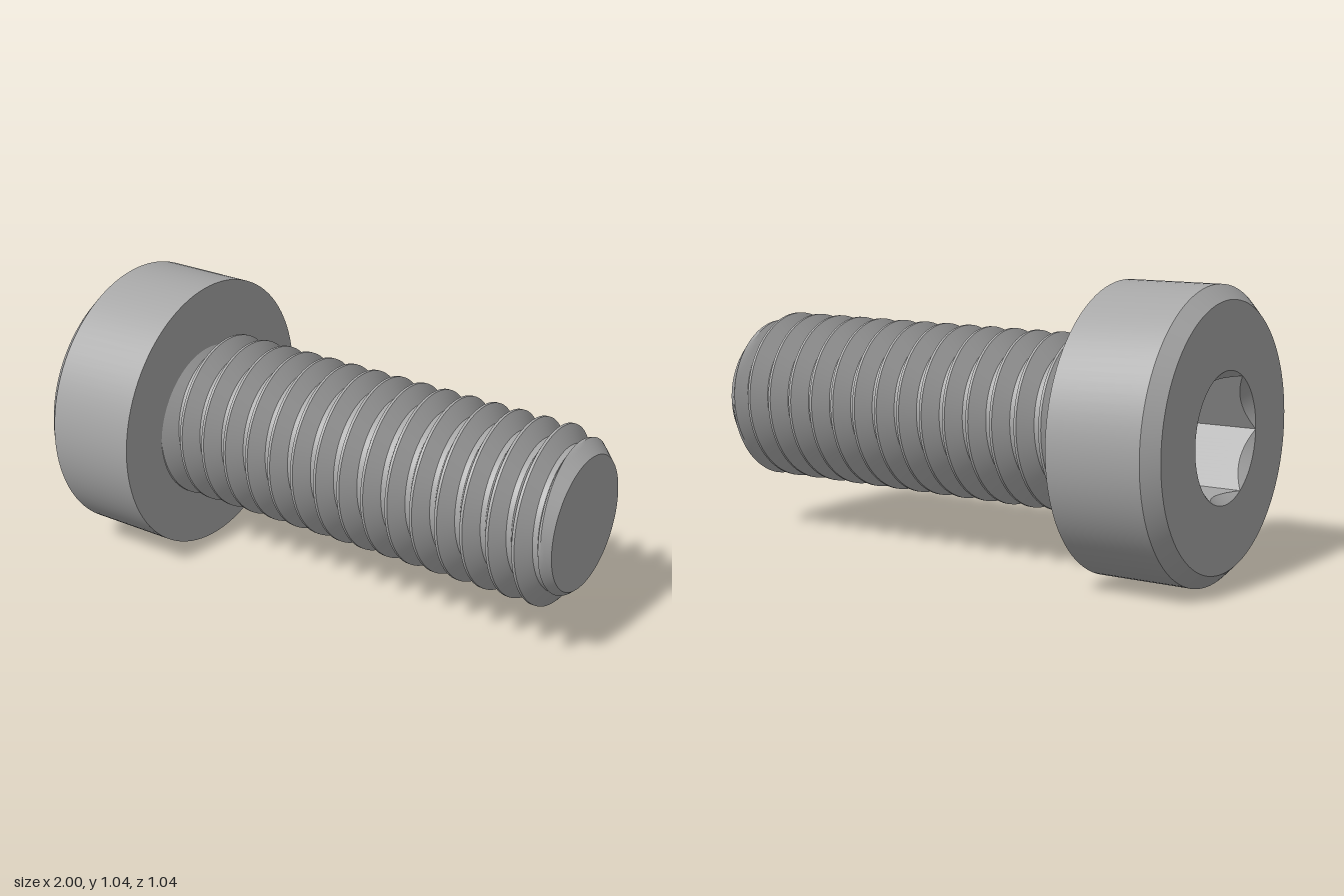
import * as THREE from 'three';
import { toCreasedNormals } from 'three/addons/utils/BufferGeometryUtils.js';

const AXIS_Y = 0.52;          // the screw lies along x at this height
const SEGMENTS = 96;
const PITCH = 0.1, CREST = 0.32, ROOT = 0.2587, TIP = 0.245;
const CREST_HALF = 0.005, ROOT_START = 0.04;

// Skin a profile round the x axis; profile(angle) returns [x, radius] pairs.
// The angle runs from the top (+y) towards the front (+z).
function skin(profile) {
  const rings = [];
  for (let j = 0; j <= SEGMENTS; j++) {
    const a = (j / SEGMENTS) * Math.PI * 2;
    const b = ((j % SEGMENTS) / SEGMENTS) * Math.PI * 2;
    rings.push(profile(a).map(([x, r]) =>
      new THREE.Vector3(x, AXIS_Y + r * Math.cos(b), r * Math.sin(b))));
  }
  const points = [];
  const triangle = (a, b, c) => {
    // leave out collapsed triangles
    const area = b.clone().sub(a).cross(c.clone().sub(a)).length();
    if (area > 1e-9) points.push(a, b, c);
  };
  for (let j = 0; j < SEGMENTS; j++) {
    const p = rings[j], q = rings[j + 1];
    for (let i = 0; i < p.length - 1; i++) {
      triangle(p[i], q[i], p[i + 1]);
      triangle(q[i], q[i + 1], p[i + 1]);
    }
  }
  const geometry = new THREE.BufferGeometry().setFromPoints(points);
  return toCreasedNormals(geometry, Math.PI / 7);
}

// Hexagon radius with flats at top and bottom
function hexRadius(a) {
  const step = Math.PI / 3;
  return 0.2 / Math.cos(a - Math.round(a / step) * step);
}

// Thread profile offsets from each crest, flanks subdivided for a clean end chamfer
const offsets = [];
for (let i = 0; i <= 4; i++) offsets.push(-ROOT_START + (i / 4) * (ROOT_START - CREST_HALF));
for (let i = 0; i <= 4; i++) offsets.push(CREST_HALF + (i / 4) * (ROOT_START - CREST_HALF));

function threadProfile(a) {
  const start = -0.53 + PITCH * a / (Math.PI * 2);
  const rows = [];
  for (let turn = -2; turn <= 16; turn++) {
    const crest = start + turn * PITCH;
    for (const offset of offsets) {
      const x = THREE.MathUtils.clamp(crest + offset, -0.6, 1);
      // radius from the distance to the nearest crest, limited by the end chamfer
      const u = (x - start) / PITCH;
      const d = Math.abs(u - Math.round(u)) * PITCH;
      const t = THREE.MathUtils.clamp((d - CREST_HALF) / (ROOT_START - CREST_HALF), 0, 1);
      const r = CREST + (ROOT - CREST) * t;
      rows.push([x, Math.min(r, TIP + (1 - x) * 0.93)]);
    }
  }
  return rows;
}

export function createModel() {
  const group = new THREE.Group();
  const steel = new THREE.MeshStandardMaterial({ color: 0xa6a6a6 });
  steel.name = 'steel grey';

  const add = (name, profile) => {
    const mesh = new THREE.Mesh(skin(profile), steel);
    mesh.name = name;
    group.add(mesh);
  };

  // Cylindrical head with a chamfered outer edge
  const rim = 0.2 / Math.cos(Math.PI / 6);
  add('head', () => [[-1, rim], [-1, 0.47], [-0.95, 0.52], [-0.6, 0.52], [-0.6, 0.2]]);

  // Hexagonal socket with a conical lead-in
  add('hexSocket', (a) => {
    const r = hexRadius(a);
    return [[-0.72, 0], [-0.72, r], [-1 + (rim - r), r], [-1, rim]];
  });

  // Right-handed threaded shank and its flat end
  add('threadedShank', threadProfile);
  add('shankTip', () => [[1, TIP], [1, 0]]);

  return group;
}
